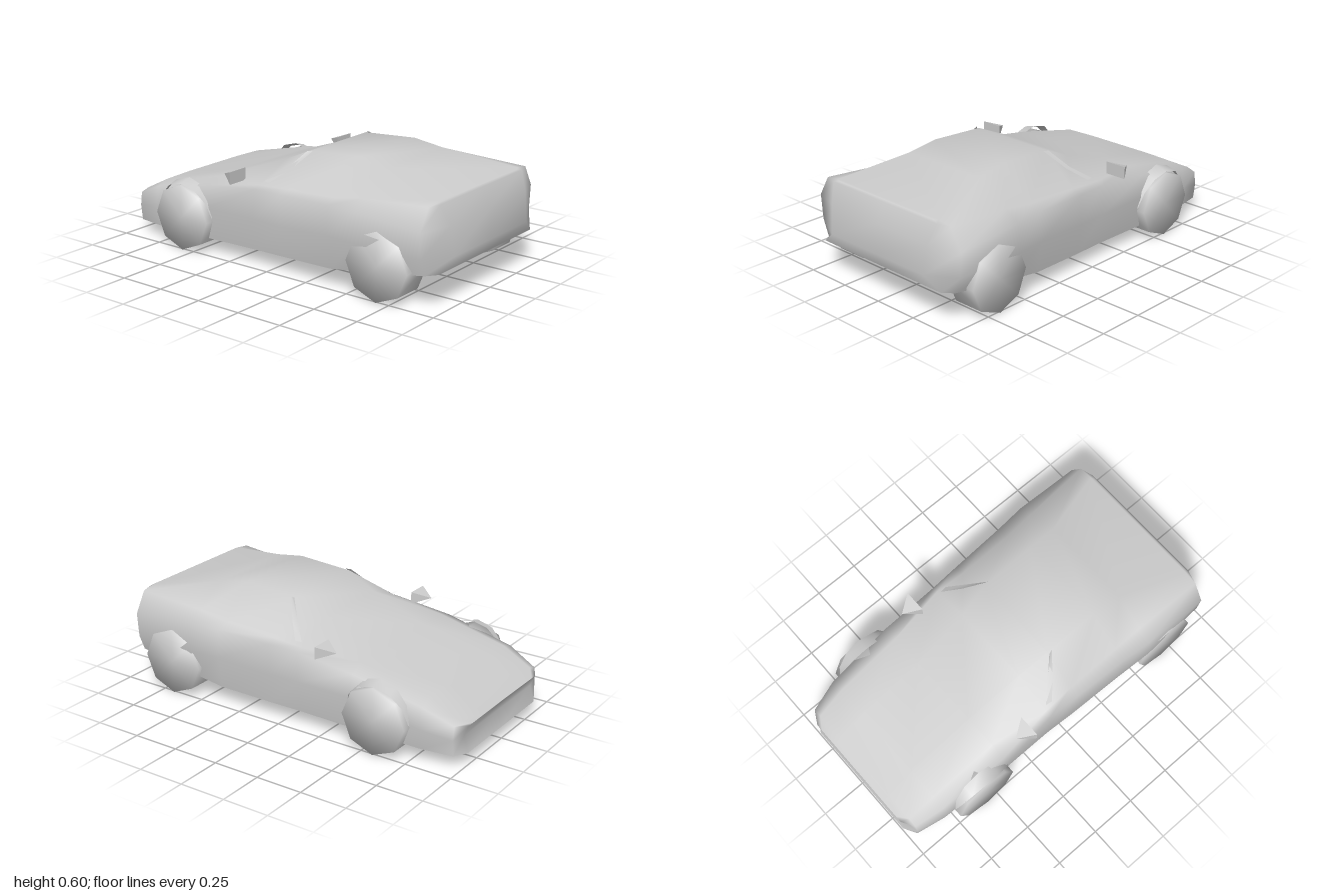
import * as THREE from 'three';
import { mergeVertices } from 'three/addons/utils/BufferGeometryUtils.js';

const material = new THREE.MeshStandardMaterial({ color: 0xcccccc, side: THREE.DoubleSide });

// Smooth surface through rows of [x, y, z] points
function surface(rows, name) {
  const n = rows[0].length;
  const index = [];
  for (let i = 0; i < rows.length - 1; i++) {
    for (let j = 0; j < n - 1; j++) {
      const a = i * n + j, b = a + n;
      index.push(a, b, b + 1, a, b + 1, a + 1);
    }
  }
  let geometry = new THREE.BufferGeometry();
  geometry.setAttribute('position', new THREE.Float32BufferAttribute(rows.flat(2), 3));
  geometry.setIndex(index);
  geometry = mergeVertices(geometry, 1e-4);
  geometry.computeVertexNormals();
  return named(geometry, name);
}

function named(geometry, name) {
  const mesh = new THREE.Mesh(geometry, material);
  mesh.name = name;
  return mesh;
}

// Per station: x, then height and half width of sill, side, belt, shoulder, roof edge
const stations = [
  [-1, 0.065, 0.34, 0.15, 0.34, 0.21, 0.34, 0.21, 0.3, 0.212, 0.2],
  [-0.96, 0.065, 0.41, 0.15, 0.42, 0.22, 0.41, 0.235, 0.36, 0.235, 0.2],
  [-0.8, 0.07, 0.44, 0.18, 0.46, 0.29, 0.445, 0.315, 0.37, 0.32, 0.2],
  [-0.42, 0.075, 0.45, 0.25, 0.475, 0.37, 0.465, 0.4, 0.38, 0.402, 0.2],
  [-0.1, 0.08, 0.45, 0.25, 0.475, 0.405, 0.465, 0.42, 0.43, 0.51, 0.22],
  [0.07, 0.085, 0.46, 0.25, 0.48, 0.41, 0.475, 0.425, 0.42, 0.585, 0.24],
  [0.38, 0.093, 0.47, 0.27, 0.5, 0.42, 0.49, 0.44, 0.42, 0.604, 0.24],
  [0.55, 0.12, 0.475, 0.27, 0.515, 0.42, 0.505, 0.47, 0.425, 0.577, 0.25],
  [0.92, 0.173, 0.46, 0.26, 0.495, 0.39, 0.505, 0.5, 0.44, 0.512, 0.36],
  [1, 0.18, 0.42, 0.25, 0.33, 0.4, 0.34, 0.5, 0.37, 0.508, 0.34],
];
const noseShift = [0, 0.025, 0, 0, 0];
const tailShift = [-0.027, 0, -0.018, -0.06, -0.07];

function makeBody() {
  const rows = stations.map((s, i) => {
    const half = [];
    for (let k = 0; k < 5; k++) {
      let x = s[0];
      if (i === 0) x += noseShift[k];
      if (i === stations.length - 1) x += tailShift[k];
      half.push([x, s[1 + 2 * k], s[2 + 2 * k]]);
    }
    const other = half.map(([x, y, z]) => [x, y, -z]).reverse();
    return [...half, ...other];
  });
  // Close the nose and tail towards the centre line; the underside stays open
  const centred = (row) => row.map(([x, y]) => [x, y, 0]);
  return surface([centred(rows[0]), ...rows, centred(rows[rows.length - 1])], 'bodyShell');
}

// Eight-sided wheel with soft shoulders
function makeWheel(x) {
  const profile = [[0, -0.085], [0.177, -0.085], [0.177, 0.085], [0, 0.085]];
  const geometry = new THREE.LatheGeometry(profile.map((p) => new THREE.Vector2(...p)), 8);
  geometry.rotateX(Math.PI / 2);
  const wheel = named(geometry, x < 0 ? 'frontWheel' : 'rearWheel');
  wheel.position.set(x, 0.177, 0.426);
  return wheel;
}

// Lip bulging over the front wheel
function makeArch() {
  const inner = [], outer = [];
  for (let i = 0; i <= 6; i++) {
    const a = (Math.PI * i) / 6, c = Math.cos(a), s = Math.sin(a);
    outer.push([-0.57 + 0.175 * c, 0.19 + 0.17 * s, 0.47 + 0.04 * s]);
    inner.push([-0.57 + 0.18 * c, 0.19 + 0.19 * s, 0.47 - 0.03 * s]);
  }
  return surface([inner, outer], 'frontWheelArch');
}

// Pyramid mirror with its flat face to the rear
function makeMirror() {
  let geometry = new THREE.ConeGeometry(Math.SQRT1_2, 1, 4, 1);
  geometry.rotateY(Math.PI / 4);
  geometry.rotateZ(Math.PI / 2);
  geometry.scale(0.09, 0.065, 0.12);
  geometry = geometry.toNonIndexed();
  geometry.computeVertexNormals();
  const mirror = named(geometry, 'doorMirror');
  mirror.position.set(-0.275, 0.447, 0.445);
  return mirror;
}

// Thin windscreen pillar
function makePillar() {
  return surface([
    [[-0.085, 0.438, 0.41], [-0.05, 0.438, 0.415]],
    [[-0.005, 0.5, 0.33], [0.025, 0.5, 0.335]],
    [[0.07, 0.588, 0.255], [0.095, 0.588, 0.245]],
  ], 'windscreenPillar');
}

export function createModel() {
  const car = new THREE.Group();
  car.name = 'car';
  car.add(makeBody());
  for (const side of [1, -1]) {
    const parts = new THREE.Group();
    parts.name = side > 0 ? 'frontFacingSide' : 'backFacingSide';
    parts.add(makeWheel(-0.57), makeWheel(0.68), makeArch(), makeMirror(), makePillar());
    parts.scale.z = side;
    car.add(parts);
  }
  return car;
}
